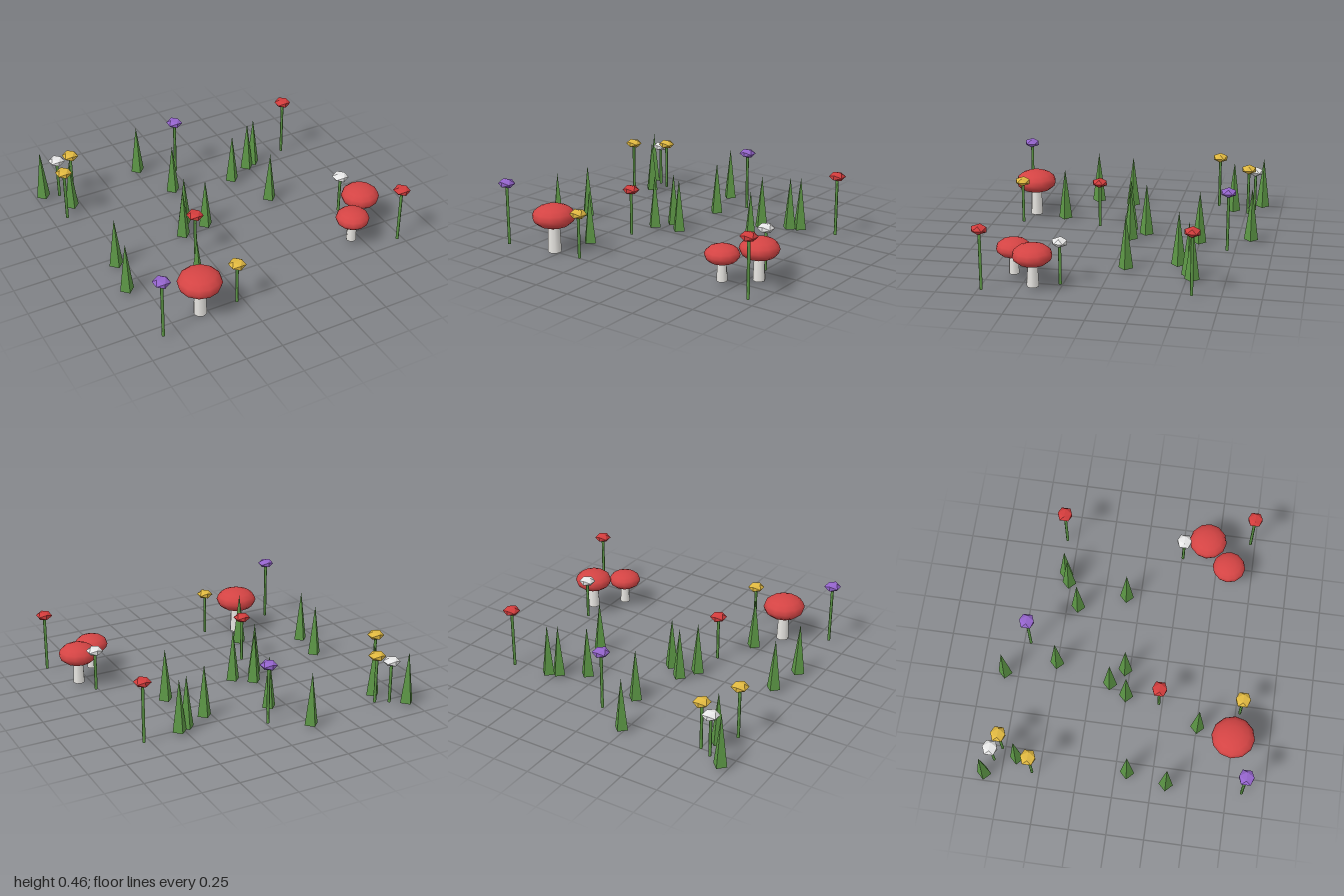
import * as THREE from 'three';

const mat = (name, color, flatShading = false) => {
  const m = new THREE.MeshStandardMaterial({ color, flatShading });
  m.name = name;
  return m;
};

export function createModel() {
  const model = new THREE.Group();
  model.name = 'meadowPatch';

  const grassGreen = mat('grassGreen', 0x5c9645, true);
  const stemGreen = mat('stemGreen', 0x5c9645);
  const capRed = mat('capRed', 0xd44444);
  const stalkWhite = mat('stalkWhite', 0xe8e6e2);
  const petal = {
    red: mat('petalRed', 0xd23c3c, true),
    yellow: mat('petalYellow', 0xe0b840, true),
    purple: mat('petalPurple', 0x9464cc, true),
    white: mat('petalWhite', 0xe8e8e8, true),
  };

  const add = (parent, name, geometry, material, x, y, z) => {
    const mesh = new THREE.Mesh(geometry, material);
    mesh.name = name;
    mesh.position.set(x, y, z);
    parent.add(mesh);
    return mesh;
  };
  const addGroup = (name, x, z) => {
    const group = new THREE.Group();
    group.name = name;
    group.position.set(x, 0, z);
    model.add(group);
    return group;
  };

  const ground = 0.018;

  // Grass tufts: four-sided spikes at [x, z]
  const tuftHeight = 0.36;
  const tuft = new THREE.ConeGeometry(0.048, tuftHeight, 4);
  [
    [-0.952, -0.86], [-0.82, -0.66], [-0.235, -0.84], [-0.12, -0.5],
    [0.31, -0.42], [0.48, -0.51], [0.545, -0.54], [0.43, -0.095],
    [-0.22, -0.12], [-0.29, 0], [-0.107, -0.03], [-0.82, 0.08],
    [-0.865, 0.345], [-0.445, 0.505],
  ].forEach(([x, z]) => add(model, 'grassTuft', tuft, grassGreen, x, ground + tuftHeight / 2, z));

  // Flowers: thin stem and flattened faceted head, [x, z, head height, colour]
  const head = new THREE.IcosahedronGeometry(0.057, 0).scale(1, 0.55, 1);
  [
    [-0.852, -0.81, 0.31, 'white'], [-0.766, -0.768, 0.35, 'yellow'],
    [-0.902, -0.547, 0.385, 'yellow'], [0.002, -0.703, 0.424, 'purple'],
    [0.804, -0.572, 0.43, 'red'], [0.776, 0.257, 0.298, 'white'],
    [0.95, 0.717, 0.414, 'red'], [-0.315, 0.227, 0.335, 'red'],
    [-0.307, 0.778, 0.316, 'yellow'], [-0.855, 0.848, 0.438, 'purple'],
  ].forEach(([x, z, y, colour]) => {
    const flower = addGroup('flower', x, z);
    const length = y - ground;
    add(flower, 'flowerStem', new THREE.CylinderGeometry(0.01, 0.01, length, 6), stemGreen, 0, ground + length / 2, 0);
    add(flower, 'flowerHead', head, petal[colour], 0, y, 0);
  });

  // Mushrooms: tapered stalk and squashed cap, [x, z, base, cap centre, cap radius]
  const cap = new THREE.SphereGeometry(1, 12, 8).scale(1, 0.56, 1);
  [
    [-0.548, 0.743, 0, 0.246, 0.143],
    [0.67, 0.582, 0.028, 0.201, 0.112],
    [0.834, 0.418, 0.018, 0.225, 0.128],
  ].forEach(([x, z, base, y, r]) => {
    const mushroom = addGroup('mushroom', x, z);
    const stalk = new THREE.CylinderGeometry(r * 0.25, r * 0.31, y - base, 8);
    add(mushroom, 'mushroomStalk', stalk, stalkWhite, 0, (y + base) / 2, 0);
    add(mushroom, 'mushroomCap', cap, capRed, 0, y, 0).scale.setScalar(r);
  });

  return model;
}
